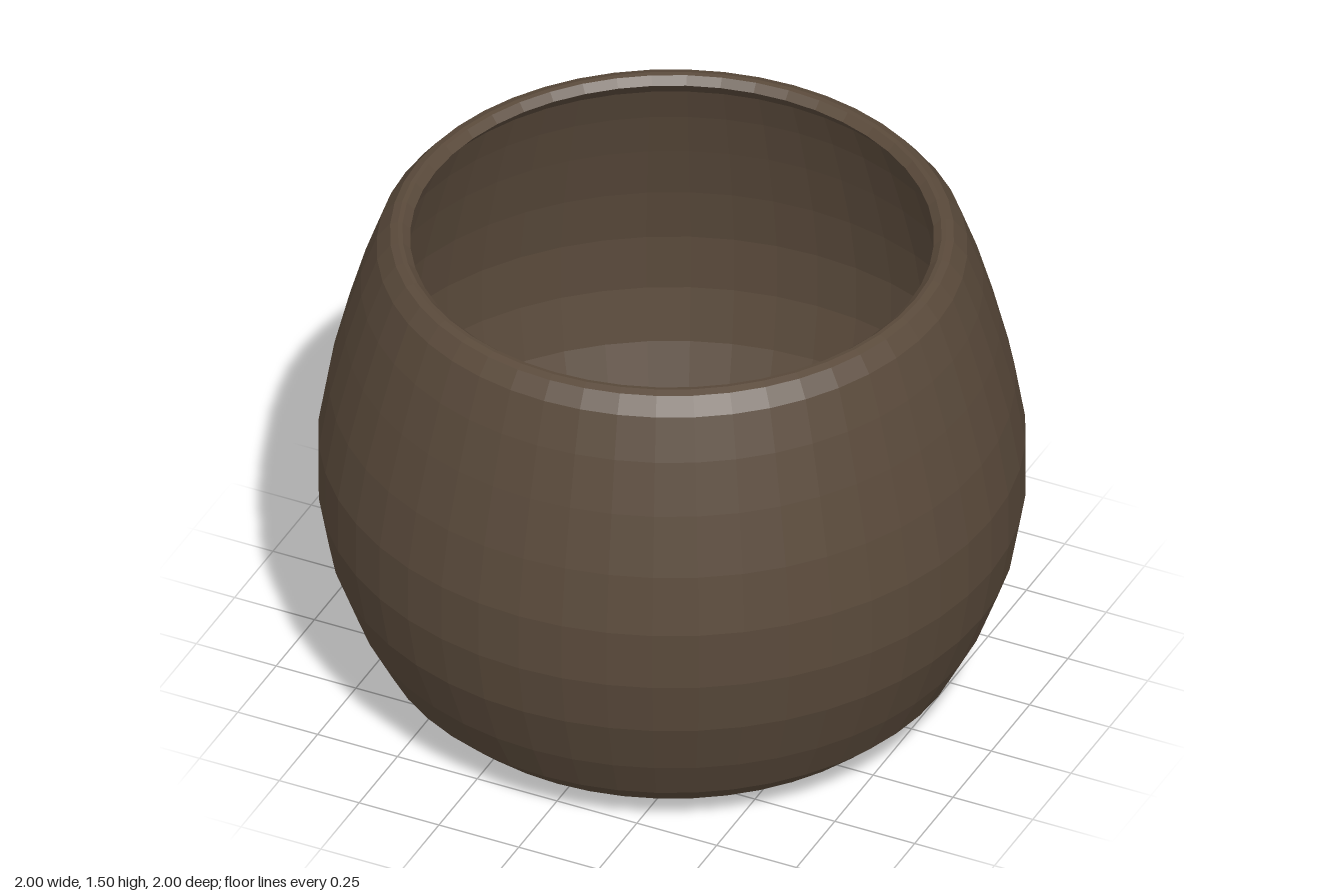
import * as THREE from 'three';

const SEGMENTS = 48;

// Revolves a list of [radius, height] pairs around the y axis
function revolve(name, profile, material) {
  const points = profile.map(([r, y]) => new THREE.Vector2(r, y));
  const mesh = new THREE.Mesh(new THREE.LatheGeometry(points, SEGMENTS), material);
  mesh.name = name;
  return mesh;
}

export function createModel() {
  const clay = new THREE.MeshStandardMaterial({ color: 0x5a4a3b, flatShading: true });
  const bowl = new THREE.Group();
  bowl.name = 'bowl';

  // Slightly domed underside and rounded belly
  const outer = [
    [0, 0], [0.6, 0.022], [0.75, 0.06], [0.835, 0.14], [0.905, 0.275], [0.97, 0.45],
    [1, 0.62], [1, 0.8], [0.97, 0.98], [0.925, 1.16], [0.88, 1.315], [0.835, 1.44],
    [0.797, 1.488],
  ];
  // Narrow rounded lip
  const lip = [[0.797, 1.488], [0.775, 1.495], [0.762, 1.493], [0.74, 1.472]];
  // Inner wall follows the belly down to the floor
  const inner = [
    [0.74, 1.472], [0.785, 1.42], [0.83, 1.3], [0.875, 1.15], [0.92, 0.975], [0.95, 0.8],
    [0.95, 0.625], [0.92, 0.46], [0.86, 0.295], [0.795, 0.17], [0.72, 0.105], [0.58, 0.072],
    [0, 0.05],
  ];

  bowl.add(
    revolve('outerWall', outer, clay),
    revolve('rim', lip, clay),
    revolve('innerWall', inner, clay),
  );
  return bowl;
}
